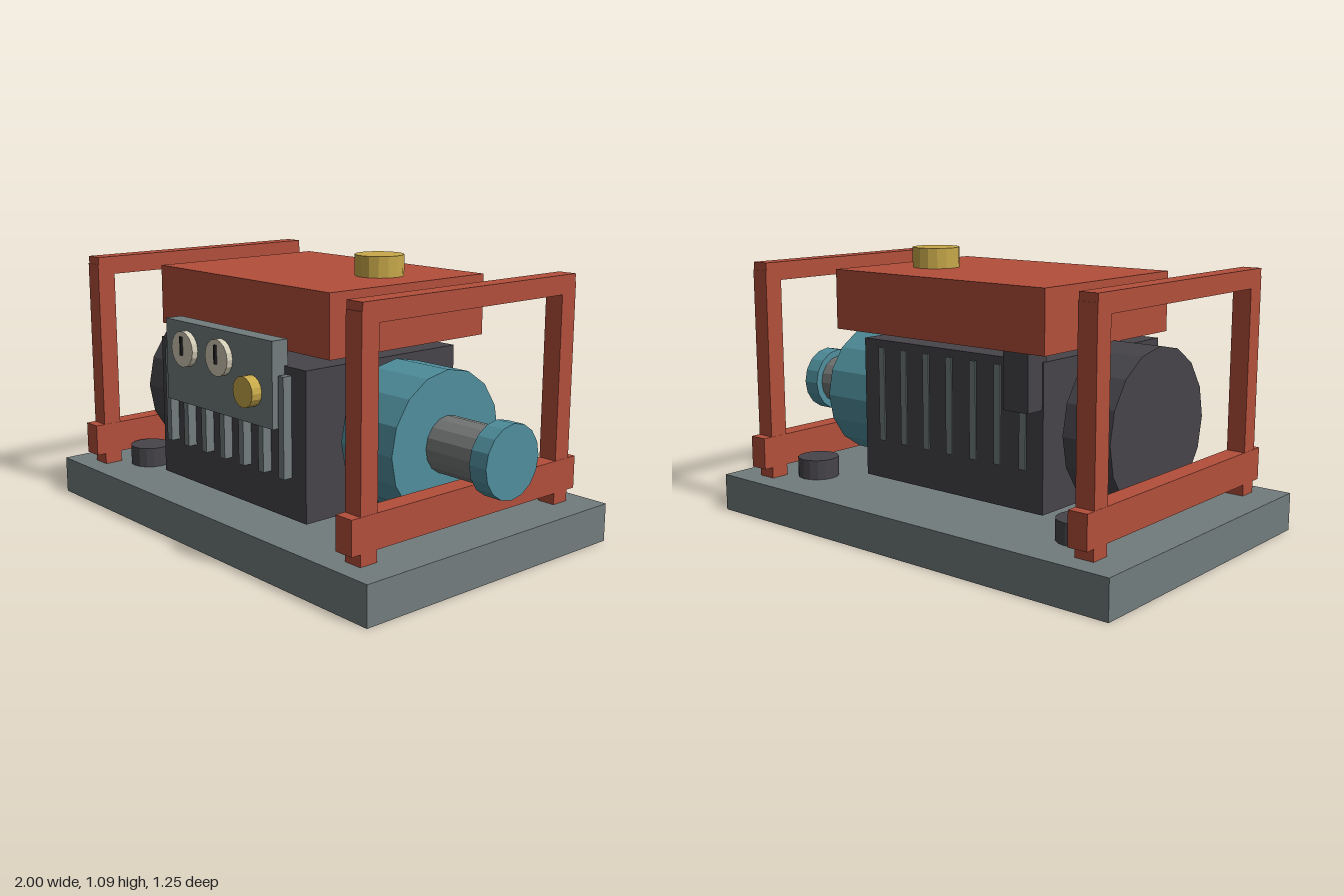
import * as THREE from 'three';

const mat = (name, color) => {
  const m = new THREE.MeshStandardMaterial({ color });
  m.name = name;
  return m;
};

export function createModel() {
  const root = new THREE.Group();
  root.name = 'generator';
  const grey = mat('panel grey', 0x727c7d);
  const red = mat('frame red', 0xb34f3b);
  const dark = mat('engine charcoal', 0x464449);
  const teal = mat('alternator teal', 0x4f8e9c);
  const steel = mat('shaft steel', 0x747676);
  const gold = mat('brass', 0xc7a84a);
  const cream = mat('dial cream', 0xd2cbb6);
  const black = mat('needle black', 0x242426);

  const group = (name) => {
    const g = new THREE.Group();
    g.name = name;
    root.add(g);
    return g;
  };
  // Box given by its limits on each axis
  const box = (name, m, [x0, x1], [y0, y1], [z0, z1], parent = root) => {
    const mesh = new THREE.Mesh(new THREE.BoxGeometry(x1 - x0, y1 - y0, z1 - z0), m);
    mesh.position.set((x0 + x1) / 2, (y0 + y1) / 2, (z0 + z1) / 2);
    mesh.name = name;
    parent.add(mesh);
    return mesh;
  };
  // Faceted cylinder along an axis, centred at (x, y, z)
  const cyl = (name, m, axis, r, len, [x, y, z], parent = root) => {
    let g = new THREE.CylinderGeometry(r, r, len, 16);
    if (axis === 'x') g.rotateZ(-Math.PI / 2);
    if (axis === 'z') g.rotateX(Math.PI / 2);
    g = g.toNonIndexed();
    g.computeVertexNormals();
    const mesh = new THREE.Mesh(g, m);
    mesh.position.set(x, y, z);
    mesh.name = name;
    parent.add(mesh);
    return mesh;
  };

  // Base slab and rubber mounts
  box('base', grey, [-1, 0.92], [0, 0.15], [-0.625, 0.62]);
  const mounts = group('mounts');
  for (const x of [-0.705, 0.62])
    for (const z of [-0.38, 0.375]) cyl('mount', dark, 'y', 0.083, 0.08, [x, 0.19, z], mounts);

  // Two end frames
  for (const [name, x] of [['rightFrame', -0.84], ['leftFrame', 0.76]]) {
    const f = group(name);
    const w = [x - 0.038, x + 0.038];
    for (const s of [-1, 1]) {
      const z = s * 0.5;
      box('post', red, w, [0.15, 1.0], [z - 0.038, z + 0.038], f);
    }
    box('topBar', red, w, [0.957, 1.03], [-0.535, 0.535], f);
    box('lowerBar', red, [x - 0.039, x + 0.039], [0.195, 0.323], [-0.578, 0.578], f);
  }

  // Engine block with cooling fins front and back
  box('engineBlock', dark, [-0.487, 0.41], [0.175, 0.735], [-0.303, 0.443]);
  const fins = group('fins');
  for (let i = 0; i < 7; i++) {
    const x = -0.395 + i * 0.1185;
    box('frontFin', grey, [x - 0.015, x + 0.015], [0.33, 0.705], [0.43, 0.48], fins);
    box('backFin', grey, [x - 0.015, x + 0.015], [0.33, 0.705], [-0.308, -0.29], fins);
  }
  box('exhaustBox', dark, [-0.482, -0.37], [0.562, 0.78], [-0.385, -0.28]);

  // Fuel tank and cap
  box('fuelTank', red, [-0.557, 0.475], [0.775, 1.01], [-0.39, 0.39]);
  cyl('fuelCap', gold, 'y', 0.094, 0.08, [0.245, 1.05, -0.06]);

  // Flywheel housing, alternator, shaft and coupling
  cyl('flywheelHousing', dark, 'x', 0.308, 0.203, [-0.657, 0.473, 0.028]);
  cyl('alternator', teal, 'x', 0.272, 0.26, [0.565, 0.457, 0.028]);
  cyl('shaft', steel, 'x', 0.106, 0.25, [0.81, 0.457, 0.028]);
  cyl('coupling', teal, 'x', 0.135, 0.075, [0.9625, 0.457, 0.028]);

  // Control panel with two gauges and a knob
  const panel = group('controlPanel');
  box('panelBox', grey, [-0.37, 0.292], [0.51, 0.83], [0.427, 0.498], panel);
  for (const x of [-0.23, -0.01]) {
    cyl('gauge', cream, 'z', 0.07, 0.025, [x, 0.728, 0.51], panel);
    box('needle', black, [x - 0.006, x + 0.006], [0.705, 0.777], [0.522, 0.53], panel);
  }
  cyl('knob', gold, 'z', 0.058, 0.045, [0.173, 0.633, 0.518], panel);

  return root;
}
